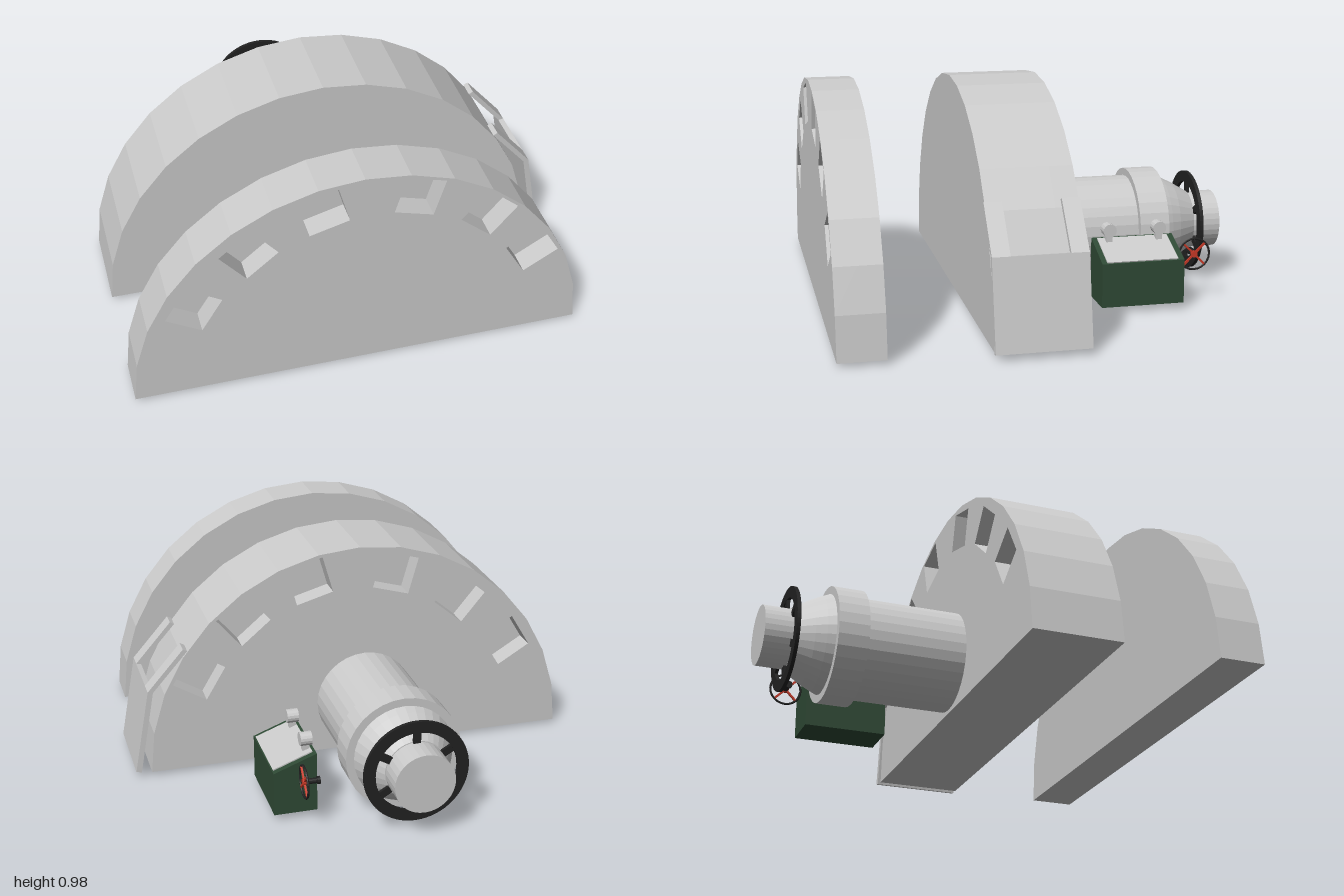
import * as THREE from 'three';

const material = (color) => new THREE.MeshStandardMaterial({ color, flatShading: true, side: THREE.DoubleSide });

export function createModel() {
  const root = new THREE.Group();
  const grey = material(0xcccccc), green = material(0x2f4a35), black = material(0x222222), red = material(0xcc3a28);

  const add = (parent, name, geometry, mat, x = 0, y = 0, z = 0) => {
    const mesh = new THREE.Mesh(geometry, mat);
    mesh.name = name;
    mesh.position.set(x, y, z);
    parent.add(mesh);
    return mesh;
  };
  const group = (name, x = 0, y = 0, z = 0) => {
    const g = new THREE.Group();
    g.name = name;
    g.position.set(x, y, z);
    root.add(g);
    return g;
  };
  const polygon = (points) => new THREE.Shape(points.map(([x, y]) => new THREE.Vector2(x, y)));
  const extrude = (shape, depth) => new THREE.ExtrudeGeometry(shape, { depth, bevelEnabled: false });

  // Half-disc outline, optionally pierced by the six square pockets
  const CX = -0.035, BASE = 0.02, R = 0.965, SIDES = 16;
  const pockets = [[-0.735, 0.46, -31], [-0.505, 0.7, 40], [-0.2, 0.85, 16],
    [0.195, 0.85, -16], [0.495, 0.7, -40], [0.7, 0.46, 31]];
  const halfDisc = (pierced) => {
    const points = [];
    for (let i = 0; i <= SIDES; i++) {
      const a = (i / SIDES) * Math.PI;
      points.push([CX + R * Math.cos(a), BASE + R * Math.sin(a)]);
    }
    const shape = polygon(points);
    if (pierced) {
      for (const [x, y, tilt] of pockets) {
        const corners = [];
        for (let k = 0; k < 4; k++) {
          const a = THREE.MathUtils.degToRad(tilt + 45 - k * 90);
          corners.push(new THREE.Vector2(x + 0.121 * Math.cos(a), y + 0.121 * Math.sin(a)));
        }
        shape.holes.push(new THREE.Path(corners));
      }
    }
    return shape;
  };

  // Two slabs: a solid core and a pierced face layer that forms the pockets
  const DEPTH = 0.1;
  const slab = (name, z0, z1, pocketsInFront) => {
    const g = group(name);
    const coreStart = pocketsInFront ? z0 : z0 + DEPTH;
    const faceStart = pocketsInFront ? z1 - DEPTH : z0;
    add(g, 'slabCore', extrude(halfDisc(false), z1 - z0 - DEPTH), grey, 0, 0, coreStart);
    add(g, 'pocketedFace', extrude(halfDisc(true), DEPTH), grey, 0, 0, faceStart);
  };
  slab('frontSlab', 0.735, 0.935, true);
  slab('rearSlab', -0.08, 0.31, false);

  // Bent side guard with two upper tabs
  const guard = group('sideGuard');
  add(guard, 'guardPanel', extrude(polygon([[0.976, 0.025], [1.0, 0.03], [0.93, 0.41], [0.907, 0.405]]), 0.398),
    grey, 0, 0, -0.08);
  const tab = polygon([[0.907, 0.405], [0.93, 0.41], [0.767, 0.595], [0.748, 0.585]]);
  for (const z of [-0.08, 0.242]) add(guard, 'guardTab', extrude(tab, 0.076), grey, 0, 0, z);

  // Barrel: stepped tube, curved shoulder and end cap, turned about the z axis
  const barrel = group('barrel', -0.057, 0.258, 0);
  const lathe = (name, profile) => {
    const g = new THREE.LatheGeometry(profile.map(([r, d]) => new THREE.Vector2(r, d)), 32);
    add(barrel, name, g, grey).rotation.x = -Math.PI / 2;
  };
  lathe('barrelTube', [[0, 0.07], [0.222, 0.07], [0.222, 0.53]]);
  lathe('collar', [[0.215, 0.52], [0.255, 0.52], [0.255, 0.655], [0.215, 0.655]]);
  lathe('shoulder', [[0.222, 0.65], [0.205, 0.69], [0.183, 0.735], [0.135, 0.815], [0, 0.815]]);
  lathe('endCap', [[0.131, 0.8], [0.131, 0.94], [0, 0.94]]);

  // Flat ring around the barrel end, held by short spokes
  const ringShape = new THREE.Shape().absarc(0, 0, 0.228, 0, Math.PI * 2);
  ringShape.holes.push(new THREE.Path().absarc(0, 0, 0.178, 0, Math.PI * 2, true));
  const ringGeometry = new THREE.ExtrudeGeometry(ringShape, { depth: 0.016, bevelEnabled: false, curveSegments: 32 });
  add(barrel, 'endRing', ringGeometry, black, 0, 0, -0.828);
  for (let i = 0; i < 6; i++) {
    const a = (i / 6) * Math.PI * 2 + Math.PI / 6;
    add(barrel, 'ringSpoke', new THREE.BoxGeometry(0.07, 0.032, 0.014), black,
      0.155 * Math.cos(a), 0.155 * Math.sin(a), -0.82).rotation.z = a;
  }

  // Console box with a sloping top, inset panel and two gauges
  const consoleBox = group('consoleBox');
  add(consoleBox, 'consoleBody', extrude(polygon([[0.315, 0.03], [0.502, 0.03], [0.502, 0.225], [0.315, 0.295]]), 0.37),
    green, 0, 0, -0.625);
  add(consoleBox, 'consolePanel', new THREE.BoxGeometry(0.183, 0.008, 0.32), grey, 0.412, 0.26, -0.438)
    .rotation.z = -Math.atan2(0.07, 0.187);
  for (const z of [-0.325, -0.552]) {
    add(consoleBox, 'gauge', new THREE.CylinderGeometry(0.03, 0.03, 0.05, 16), grey, 0.346, 0.335, z)
      .rotation.z = Math.PI / 2;
    add(consoleBox, 'gaugeStem', new THREE.BoxGeometry(0.03, 0.045, 0.028), grey, 0.346, 0.288, z);
  }

  // Handwheel facing +x: rim, crossed spokes, hub and shaft
  const wheel = group('handwheel', 0.392, 0.215, -0.706);
  add(wheel, 'wheelRim', new THREE.TorusGeometry(0.07, 0.005, 6, 24), black).rotation.y = Math.PI / 2;
  for (const s of [-1, 1]) {
    add(wheel, 'wheelSpoke', new THREE.BoxGeometry(0.008, 0.14, 0.009), red).rotation.x = s * Math.PI / 4;
  }
  const rod = (name, r, length, mat, x) => {
    add(wheel, name, new THREE.CylinderGeometry(r, r, length, 12), mat, x).rotation.z = Math.PI / 2;
  };
  rod('wheelHub', 0.015, 0.014, red, 0);
  rod('wheelShaft', 0.012, 0.06, black, -0.035);
  rod('shaftCollar', 0.017, 0.012, black, -0.061);

  return root;
}
